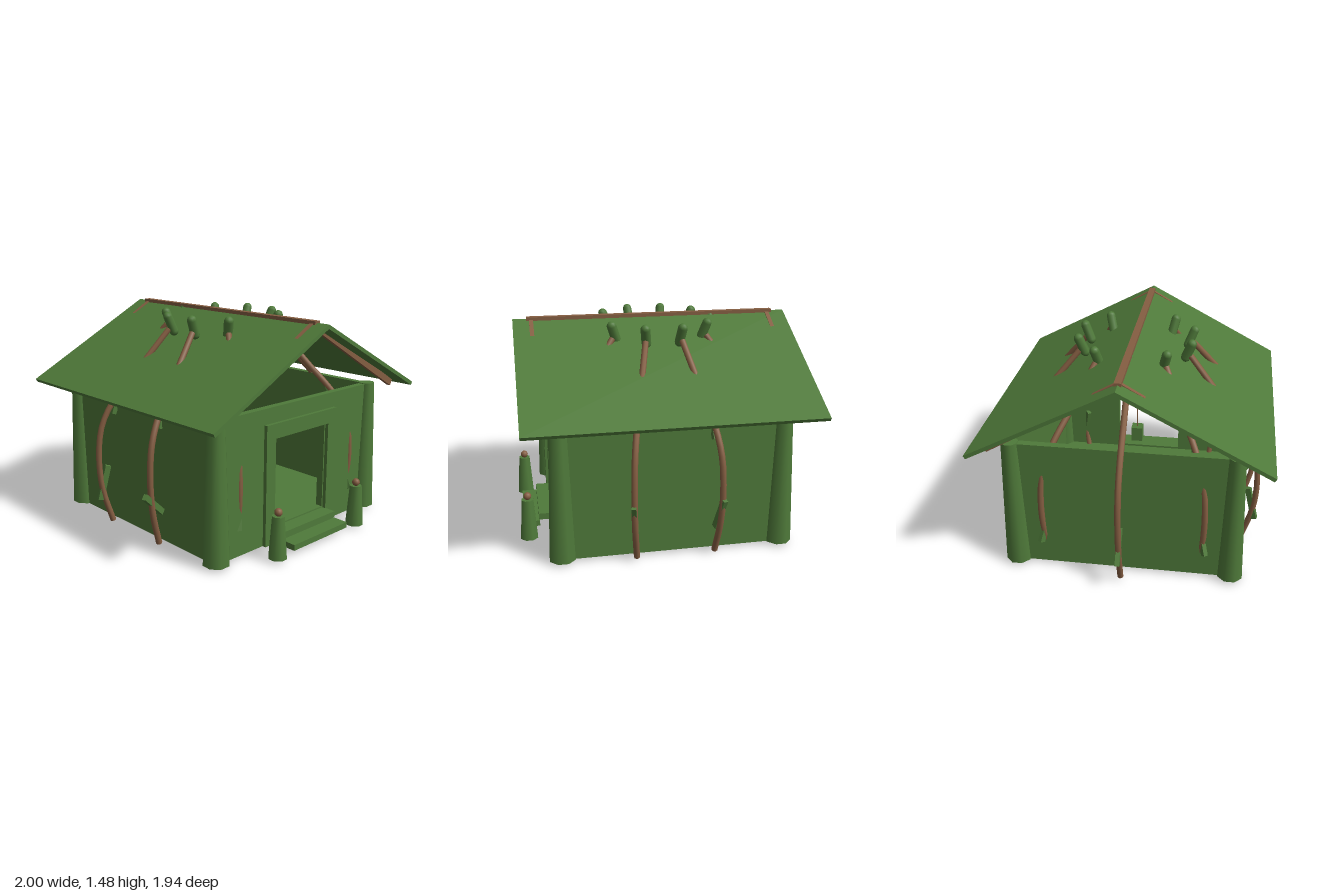
import * as THREE from 'three';

const leaf = new THREE.MeshStandardMaterial({ color: 0x4f7a3a });
leaf.name = 'leafGreen';
const wood = new THREE.MeshStandardMaterial({ color: 0x855e42 });
wood.name = 'woodBrown';

function add(parent, name, geometry, material, x = 0, y = 0, z = 0) {
  const mesh = new THREE.Mesh(geometry, material);
  mesh.name = name;
  mesh.position.set(x, y, z);
  parent.add(mesh);
  return mesh;
}

// Box given by its minimum and maximum corners
function block(parent, name, material, [x0, y0, z0], [x1, y1, z1]) {
  return add(parent, name, new THREE.BoxGeometry(x1 - x0, y1 - y0, z1 - z0), material,
    (x0 + x1) / 2, (y0 + y1) / 2, (z0 + z1) / 2);
}

// Rectangle outline, half width w, from y0 to y1
function rect(Type, w, y0, y1) {
  return new Type([[-w, y0], [w, y0], [w, y1], [-w, y1]].map(p => new THREE.Vector2(...p)));
}

// Profile in the z/y plane extruded along x from x0
function extrudeX(shape, x0, depth) {
  return new THREE.ExtrudeGeometry(shape, { depth, bevelEnabled: false }).rotateY(Math.PI / 2).translate(x0, 0, 0);
}

// Upside-down V: outer ridge/eave and vertical thickness
function chevron(half, ridge, eave, t) {
  return new THREE.Shape([[0, ridge], [-half, eave], [-half + t * 0.45, eave - t * 0.8], [0, ridge - t],
    [half - t * 0.45, eave - t * 0.8], [half, eave]].map(p => new THREE.Vector2(...p)));
}

// Tapered eight-sided column
function column(parent, name, x, z, top, bottom, y0, y1) {
  const g = new THREE.CylinderGeometry(top, bottom, y1 - y0, 8).rotateY(Math.PI / 8);
  return add(parent, name, g, leaf, x, (y0 + y1) / 2, z);
}

function buildHouse(root) {
  const house = new THREE.Group();
  house.name = 'house';
  root.add(house);
  add(house, 'roundFoundation', new THREE.CylinderGeometry(0.375, 0.375, 0.03, 12), leaf, 0, 0.015, 0);
  block(house, 'floor', leaf, [-0.74, 0.02, -0.74], [0.74, 0.12, 0.74]);
  for (const s of [-1, 1]) {
    const a = s * 0.71, b = s * 0.76;
    block(house, 'sideWall', leaf, [-0.76, 0.02, Math.min(a, b)], [0.76, 0.95, Math.max(a, b)]);
    for (const t of [-1, 1]) column(house, 'cornerPillar', s * 0.737, t * 0.737, 0.058, 0.09, 0.02, 0.955);
  }
  block(house, 'rearWall', leaf, [-0.76, 0.02, -0.71], [-0.71, 0.95, 0.71]);

  // Doorway wall and its raised surround
  const wall = rect(THREE.Shape, 0.71, 0.02, 0.95);
  wall.holes.push(rect(THREE.Path, 0.25, 0.135, 0.735));
  add(house, 'doorWall', extrudeX(wall, 0.71, 0.05), leaf);
  const frame = rect(THREE.Shape, 0.345, 0.02, 0.845);
  frame.holes.push(rect(THREE.Path, 0.26, 0.12, 0.745));
  add(house, 'doorFrame', extrudeX(frame, 0.76, 0.025), leaf);
  block(house, 'upperStep', leaf, [0.75, 0.08, -0.265], [0.865, 0.125, 0.265]);
  block(house, 'lowerStep', leaf, [0.86, 0.035, -0.27], [0.97, 0.075, 0.27]);

  // Entrance posts with ball tops
  for (const s of [-1, 1]) {
    column(house, 'entrancePost', 0.94, s * 0.395, 0.042, 0.063, 0.02, 0.305);
    add(house, 'postBall', new THREE.SphereGeometry(0.027, 12, 8), wood, 0.94, 0.328, s * 0.395);
  }

  // Altar with bowl, and hanging lantern
  block(house, 'altar', leaf, [-0.06, 0.12, -0.06], [0.06, 0.27, 0.06]);
  add(house, 'bowl', new THREE.CylinderGeometry(0.05, 0.025, 0.025, 10), leaf, 0, 0.283, 0);
  add(house, 'offering', new THREE.SphereGeometry(0.02, 10, 8), wood, 0, 0.302, 0);
  block(house, 'lantern', leaf, [-0.04, 0.615, -0.04], [0.04, 0.72, 0.04]);
  add(house, 'lanternCord', new THREE.CylinderGeometry(0.005, 0.005, 0.72, 6), wood, 0, 1.08, 0);
}

function buildRoof(root) {
  const roof = new THREE.Group();
  roof.name = 'roof';
  root.add(roof);
  add(roof, 'roofPanels', extrudeX(chevron(0.97, 1.47, 0.96, 0.028), -0.963, 1.933), leaf);
  for (const x of [-0.835, 0.845]) {
    add(roof, 'rafters', extrudeX(chevron(0.88, 1.478, 0.972, 0.05), x - 0.014, 0.028), wood);
  }
  block(roof, 'ridgeBeam', wood, [-0.87, 1.45, -0.023], [0.877, 1.482, 0.023]);
}

// One bowed rib, drawn outward along +x, with cap and two slats
function buildRib(root, angle, lowTilt, highTilt) {
  const rib = new THREE.Group();
  rib.name = 'rib';
  rib.position.x = -0.008;
  rib.rotation.y = -angle;
  root.add(rib);
  const path = [[0.85, 0.02], [0.915, 0.25], [0.935, 0.48], [0.905, 0.72], [0.81, 0.9], [0.63, 1.1], [0.4, 1.36]];
  const curve = new THREE.CatmullRomCurve3(path.map(([r, y]) => new THREE.Vector3(r, y, 0)));
  add(rib, 'ribPole', new THREE.TubeGeometry(curve, 24, 0.021, 8), wood);
  add(rib, 'ribFoot', new THREE.CircleGeometry(0.021, 8).rotateX(Math.PI / 2), wood, 0.85, 0.021, 0);
  add(rib, 'ribCap', new THREE.CapsuleGeometry(0.033, 0.11, 4, 8), leaf, 0.385, 1.395, 0).rotation.z = -0.4;
  add(rib, 'lowSlat', new THREE.BoxGeometry(0.04, 0.25, 0.03), leaf, 0.905, 0.31, 0).rotation.z = lowTilt;
  add(rib, 'highSlat', new THREE.BoxGeometry(0.03, 0.17, 0.025), leaf, 0.79, 0.88, 0).rotation.z = highTilt;
}

export function createModel() {
  const root = new THREE.Group();
  root.name = 'ribbedHut';
  const body = new THREE.Group();
  body.name = 'hut';
  body.position.z = -0.012;
  root.add(body);
  buildHouse(body);
  buildRoof(body);
  // Nine ribs around a ring of ten, leaving the doorway free
  const lowTilts = [0.3, -0.85, 0.25, 0.4, 0.63, 0.4, -0.4, -0.4, 0.3];
  lowTilts.forEach((tilt, i) => buildRib(body, (i + 1) * Math.PI / 5, tilt, 0.35));
  return root;
}
